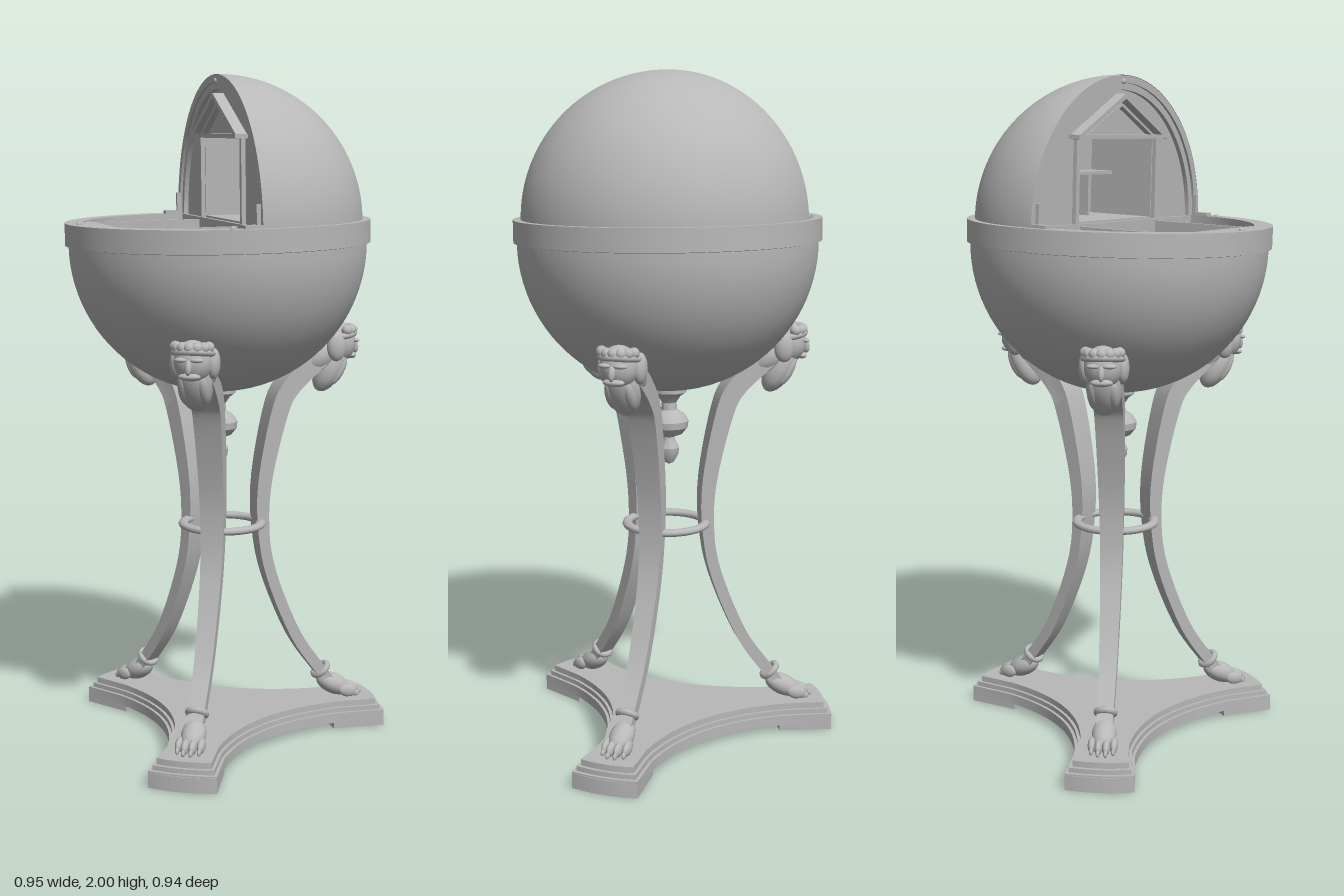
import * as THREE from 'three';
import { toCreasedNormals } from 'three/addons/utils/BufferGeometryUtils.js';

const grey = new THREE.MeshStandardMaterial({ color: 0xb8b8b8, side: THREE.DoubleSide });
grey.name = 'stone grey';

const V2 = (x, y) => new THREE.Vector2(x, y);

function add(parent, name, geo, x = 0, y = 0, z = 0) {
  const mesh = new THREE.Mesh(geo, grey);
  mesh.name = name;
  mesh.position.set(x, y, z);
  parent.add(mesh);
  return mesh;
}
const box = (parent, name, w, h, d, x, y, z) => add(parent, name, new THREE.BoxGeometry(w, h, d), x, y, z);
function blob(parent, name, sx, sy, sz, x, y, z, tilt = 0) {
  const mesh = add(parent, name, new THREE.SphereGeometry(1, 20, 14), x, y, z);
  mesh.scale.set(sx, sy, sz);
  mesh.rotation.z = tilt;
  return mesh;
}
const lathe = (pts, n = 64) => toCreasedNormals(new THREE.LatheGeometry(pts.map(p => V2(...p)), n), 0.5);

// Three-pointed plinth outline with concave sides
const LEG_ANGLES = [72, 192, 312].map(d => d * Math.PI / 180);
function plinthShape(inset) {
  const s = new THREE.Shape();
  const at = (a, r, t) => [r * Math.cos(a) - t * Math.sin(a), r * Math.sin(a) + t * Math.cos(a)];
  LEG_ANGLES.forEach((a, i) => {
    const r = 0.5 - inset, w = 0.1 - inset;
    if (i === 0) s.moveTo(...at(a, 0.36, -w * 0.9));
    s.lineTo(...at(a, r, -w));
    s.quadraticCurveTo(...at(a, r + 0.02, 0), ...at(a, r, w));
    s.lineTo(...at(a, 0.36, w * 0.9));
    const mid = a + Math.PI / 3, next = a + Math.PI * 2 / 3;
    s.quadraticCurveTo(...at(mid, 0.12 - inset, 0), ...at(next, 0.36, -w * 0.9));
  });
  return s;
}
function slab(shape, y0, y1, curveSegments = 16) {
  const g = new THREE.ExtrudeGeometry(shape, { depth: y1 - y0, bevelEnabled: false, curveSegments });
  g.rotateX(Math.PI / 2); // shape y becomes z, depth goes down
  g.translate(0, y1, 0);
  return toCreasedNormals(g, 0.5);
}

function makeBase() {
  const base = new THREE.Group();
  base.name = 'base';
  [[0, 0.02, 0.05], [0.01, 0.05, 0.064], [0.02, 0.064, 0.082]].forEach(([inset, y0, y1], i) =>
    add(base, 'plinthStep' + (i + 1), slab(plinthShape(inset), y0, y1)));
  for (const a of LEG_ANGLES) {
    const pad = new THREE.Group();
    pad.name = 'cornerPad';
    pad.rotation.y = -a;
    const s = new THREE.Shape();
    s.moveTo(0.34, -0.085); s.lineTo(0.5, -0.1);
    s.quadraticCurveTo(0.525, 0, 0.5, 0.1);
    s.lineTo(0.34, 0.085); s.closePath();
    add(pad, 'padBlock', slab(s, 0, 0.045));
    base.add(pad);
  }
  return base;
}

// Curved leg: side outline extruded, then widened towards the top
function legGeometry() {
  const curve = new THREE.SplineCurve([[0.36, 0.12], [0.32, 0.17], [0.23, 0.3], [0.148, 0.5], [0.122, 0.65],
    [0.127, 0.8], [0.17, 1.0], [0.21, 1.08], [0.3, 1.165]].map(p => V2(...p)));
  const outer = [], inner = [], n = 40;
  for (let i = 0; i <= n; i++) {
    const p = curve.getPoint(i / n), t = curve.getTangent(i / n);
    const h = 0.017 + 0.014 * Math.max(0, (p.y - 0.6) / 0.55);
    outer.push(V2(p.x + t.y * h, p.y - t.x * h));
    inner.unshift(V2(p.x - t.y * h, p.y + t.x * h));
  }
  const g = new THREE.ExtrudeGeometry(new THREE.Shape([...outer, ...inner]), { depth: 1, bevelEnabled: false });
  const pos = g.attributes.position;
  for (let i = 0; i < pos.count; i++) {
    const w = 0.042 + 0.045 * Math.min(1, pos.getY(i) / 1.1);
    pos.setZ(i, (pos.getZ(i) - 0.5) * w);
  }
  return toCreasedNormals(g, 0.5);
}

function makeLeg() {
  const leg = new THREE.Group();
  leg.name = 'leg';
  add(leg, 'legShaft', legGeometry());

  // Clawed paw
  const cuff = add(leg, 'ankleCuff', new THREE.TorusGeometry(0.026, 0.01, 8, 20), 0.325, 0.168, 0);
  cuff.rotation.set(Math.PI / 2, 0.7, 0);
  blob(leg, 'paw', 0.06, 0.032, 0.036, 0.368, 0.118, 0, -0.45);
  for (const [z, x] of [[-0.032, 0.405], [-0.011, 0.42], [0.011, 0.42], [0.032, 0.405]]) {
    blob(leg, 'toe', 0.03, 0.02, 0.012, x, 0.1, z, -0.2);
    blob(leg, 'claw', 0.012, 0.01, 0.006, x + 0.027, 0.09, z, -0.5);
  }

  // Bearded head looking outward
  const head = new THREE.Group();
  head.name = 'head';
  blob(head, 'skull', 0.056, 0.062, 0.054, 0.368, 1.2, 0, -0.2);
  blob(head, 'nape', 0.075, 0.05, 0.052, 0.305, 1.165, 0, 0.55);
  blob(head, 'beard', 0.042, 0.085, 0.05, 0.345, 1.13, 0, -0.5);
  blob(head, 'nose', 0.012, 0.022, 0.01, 0.424, 1.19, 0, 0.2);
  blob(head, 'moustache', 0.016, 0.011, 0.032, 0.41, 1.163, 0);
  const band = add(head, 'headband', new THREE.TorusGeometry(0.054, 0.01, 8, 28), 0.365, 1.225, 0);
  band.rotation.set(Math.PI / 2, 0.15, 0);
  for (let i = 0; i < 7; i++) {
    const a = (i - 3) * 0.42;
    blob(head, 'curl', 0.016, 0.016, 0.016, 0.365 + 0.047 * Math.cos(a), 1.243, 0.05 * Math.sin(a));
  }
  for (const s of [-1, 1]) {
    blob(head, 'brow', 0.012, 0.007, 0.02, 0.417, 1.21, s * 0.022);
    blob(head, 'sideHair', 0.03, 0.045, 0.02, 0.345, 1.195, s * 0.052);
    blob(head, 'beardLock', 0.02, 0.05, 0.018, 0.36, 1.12, s * 0.027, -0.5);
  }
  leg.add(head);
  return leg;
}

// Bowl, compartments and half dome; local z points out of the opening
function makeGlobe() {
  const globe = new THREE.Group();
  globe.name = 'globe';
  const profile = [];
  for (let i = 0; i <= 24; i++) {
    const a = (i / 24) * Math.PI / 2;
    profile.push([0.44 * Math.sin(a), -0.035 - 0.44 * Math.cos(a)]);
  }
  profile.push([0.45, -0.033], [0.45, 0.033], [0.395, 0.033], [0.395, -0.13], [0, -0.13]);
  add(globe, 'bowl', lathe(profile, 96));

  const inside = new THREE.Group();
  inside.name = 'interior';
  inside.rotation.y = -42 * Math.PI / 180;
  globe.add(inside);

  // Compartments
  for (const s of [-1, 1]) box(inside, 'divider', 0.014, 0.155, 0.335, s * 0.192, -0.052, 0.168);
  box(inside, 'backWall', 0.785, 0.163, 0.012, 0, -0.05, -0.01);
  const slope = box(inside, 'slopedRest', 0.37, 0.17, 0.006, 0, -0.052, 0.297);
  slope.rotation.x = Math.atan2(0.076, 0.155);
  const ledge = new THREE.Shape();
  const half = Math.asin(0.19 / 0.395);
  ledge.moveTo(-0.19, 0.334);
  ledge.absarc(0, 0, 0.394, Math.PI / 2 + half, Math.PI / 2 - half, true);
  ledge.lineTo(0.19, 0.334);
  add(inside, 'frontLedge', slab(ledge, 0.015, 0.03));

  // Dome shell, arched rim and recessed panel
  const dome = new THREE.Group();
  dome.name = 'dome';
  dome.position.y = 0.028;
  inside.add(dome);
  add(dome, 'domeShell', new THREE.SphereGeometry(0.427, 64, 32, Math.PI, Math.PI, 0, Math.PI / 2));
  const arch = (ro, ri, depth, z) => {
    const s = new THREE.Shape();
    s.absarc(0, 0, ro, 0, Math.PI, false);
    s.absarc(0, 0, ri, Math.PI, 0, true);
    const g = new THREE.ExtrudeGeometry(s, { depth, bevelEnabled: false, curveSegments: 48 });
    return add(dome, 'archRim', toCreasedNormals(g, 0.5), 0, 0, z);
  };
  arch(0.4255, 0.405, 0.03, -0.03);
  arch(0.408, 0.385, 0.022, -0.03);
  const panel = new THREE.Shape();
  panel.absarc(0, 0, 0.395, 0, Math.PI, false);
  panel.closePath();
  panel.holes.push(new THREE.Path([V2(-0.19, 0.005), V2(-0.19, 0.245), V2(0.19, 0.245), V2(0.19, 0.005)]));
  add(dome, 'archPanel', new THREE.ShapeGeometry(panel, 48), 0, 0, -0.022);

  // Niche with shelves
  for (const s of [-1, 1]) box(dome, 'nicheSide', 0.008, 0.245, 0.23, s * 0.192, 0.125, -0.137);
  box(dome, 'nicheBack', 0.384, 0.245, 0.008, 0, 0.125, -0.25);
  box(dome, 'nicheTop', 0.384, 0.008, 0.23, 0, 0.247, -0.137);
  box(dome, 'nicheFloor', 0.384, 0.008, 0.23, 0, 0.004, -0.137);
  box(dome, 'nicheShelf', 0.376, 0.01, 0.08, 0, 0.135, -0.207);
  box(dome, 'nichePost', 0.01, 0.13, 0.08, 0.07, 0.07, -0.207);

  // Pediment
  box(dome, 'cornice', 0.46, 0.012, 0.04, 0, 0.25, -0.005);
  for (const s of [-1, 1]) {
    const angle = Math.atan2(0.115, 0.215);
    const rake = box(dome, 'rakingCornice', 0.25, 0.014, 0.035, s * 0.11, 0.308, -0.006);
    rake.rotation.z = -s * angle;
    const inner = box(dome, 'rakingTrim', 0.2, 0.008, 0.02, s * 0.088, 0.295, -0.012);
    inner.rotation.z = -s * angle;
    box(dome, 'pilaster', 0.016, 0.245, 0.014, s * 0.2, 0.125, -0.016);
    // Hinges and studs on the rim
    box(dome, 'hingePlate', 0.03, 0.012, 0.05, s * 0.41, 0.008, 0.025);
    box(dome, 'stay', 0.012, 0.07, 0.012, s * 0.4, 0.035, 0.006);
    blob(globe, 'rimStud', 0.008, 0.006, 0.008, s < 0 ? -0.28 : 0.25, 0.034, s < 0 ? 0.31 : 0.335);
  }
  blob(dome, 'archStud', 0.008, 0.008, 0.006, 0, 0.408, 0);
  return globe;
}

export function createModel() {
  const model = new THREE.Group();
  model.name = 'globeCabinet';

  const stand = new THREE.Group();
  stand.name = 'stand';
  stand.position.set(0.035, 0, -0.035);
  stand.add(makeBase());
  for (const a of LEG_ANGLES) {
    const leg = makeLeg();
    leg.rotation.y = -a;
    stand.add(leg);
  }
  const ring = add(stand, 'stretcherRing', new THREE.TorusGeometry(0.118, 0.015, 10, 48), 0, 0.66, 0);
  ring.rotation.x = Math.PI / 2;
  ring.scale.z = 0.75;
  model.add(stand);

  // Hanging finial under the bowl
  add(model, 'pendant', lathe([[0, 0.84], [0.015, 0.848], [0.028, 0.872], [0.03, 0.892], [0.018, 0.915],
    [0.016, 0.925], [0.04, 0.935], [0.056, 0.955], [0.058, 0.975], [0.045, 0.995], [0.024, 1.008], [0.022, 1.03],
    [0.035, 1.05], [0.052, 1.062], [0.052, 1.08], [0, 1.085]], 32), 0.024, 0, -0.03);

  const globe = makeGlobe();
  globe.position.set(0.025, 1.545, -0.022);
  globe.rotation.x = 0.026; // slight forward lean
  model.add(globe);
  return model;
}
